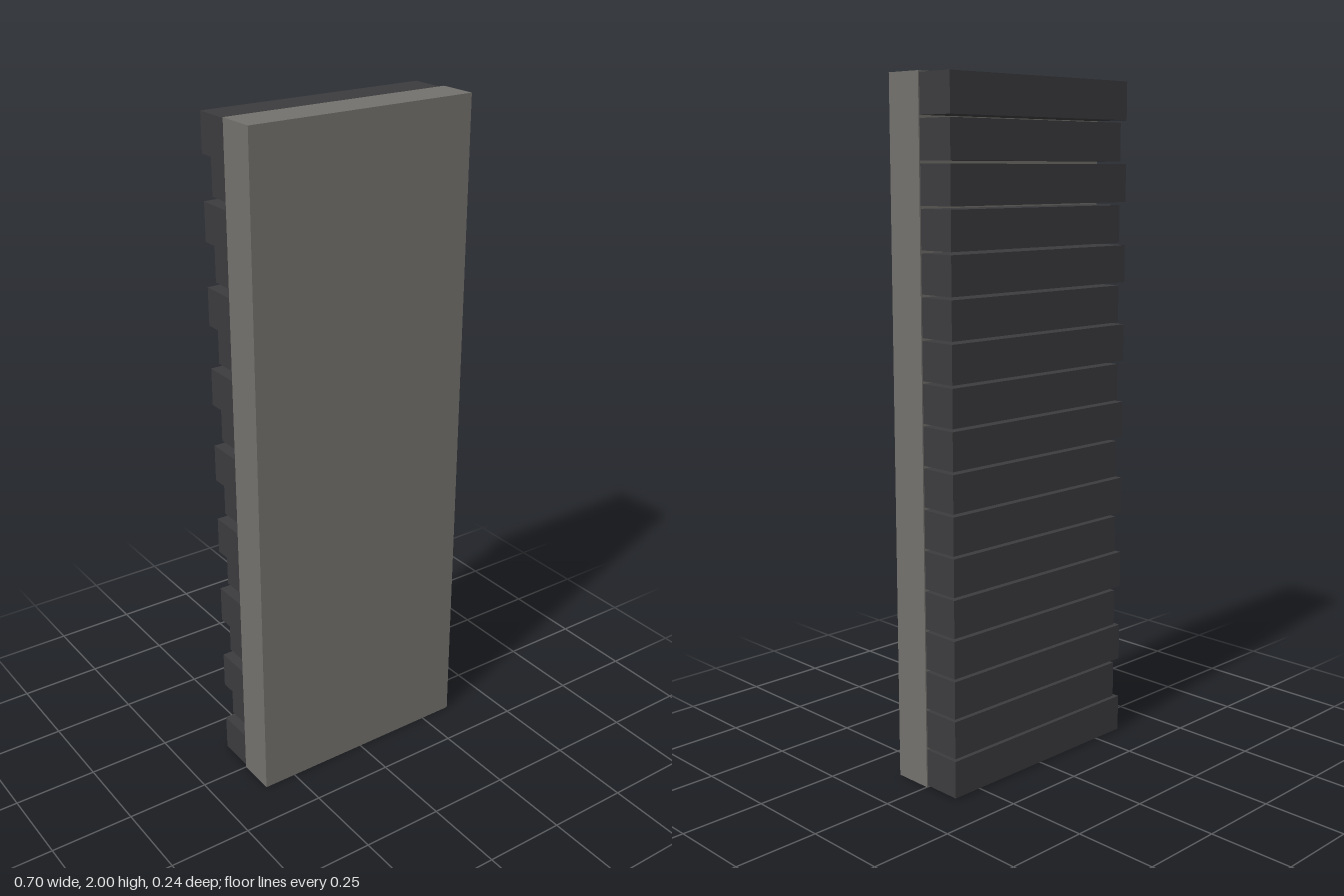
import * as THREE from 'three';

const HEIGHT = 2;
const ROWS = 17;
const PITCH = HEIGHT / ROWS;
const DEPTH = 0.118;
const GAP = 0.008;

export function createModel() {
  const model = new THREE.Group();
  model.name = 'claddedWallPanel';
  const panelMaterial = new THREE.MeshStandardMaterial({ color: 0x73716d });
  const boardMaterial = new THREE.MeshStandardMaterial({ color: 0x3c3c3e });

  // Box given by its left and right ends, centre height and centre depth
  function addBox(name, x0, x1, y, height, z, material) {
    const mesh = new THREE.Mesh(new THREE.BoxGeometry(x1 - x0, height, DEPTH), material);
    mesh.name = name;
    mesh.position.set((x0 + x1) / 2, y, z);
    model.add(mesh);
  }

  // Smooth front slab
  addBox('frontPanel', -0.352, 0.352, HEIGHT / 2, HEIGHT, DEPTH / 2, panelMaterial);

  // Spaced boards on the back; every second one stops short at the -x end
  for (let i = 0; i < ROWS; i++) {
    const x0 = i % 2 ? -0.322 : -0.348;
    addBox(`backBoard${i + 1}`, x0, 0.348, (i + 0.5) * PITCH, PITCH - GAP, -DEPTH / 2, boardMaterial);
  }
  return model;
}
